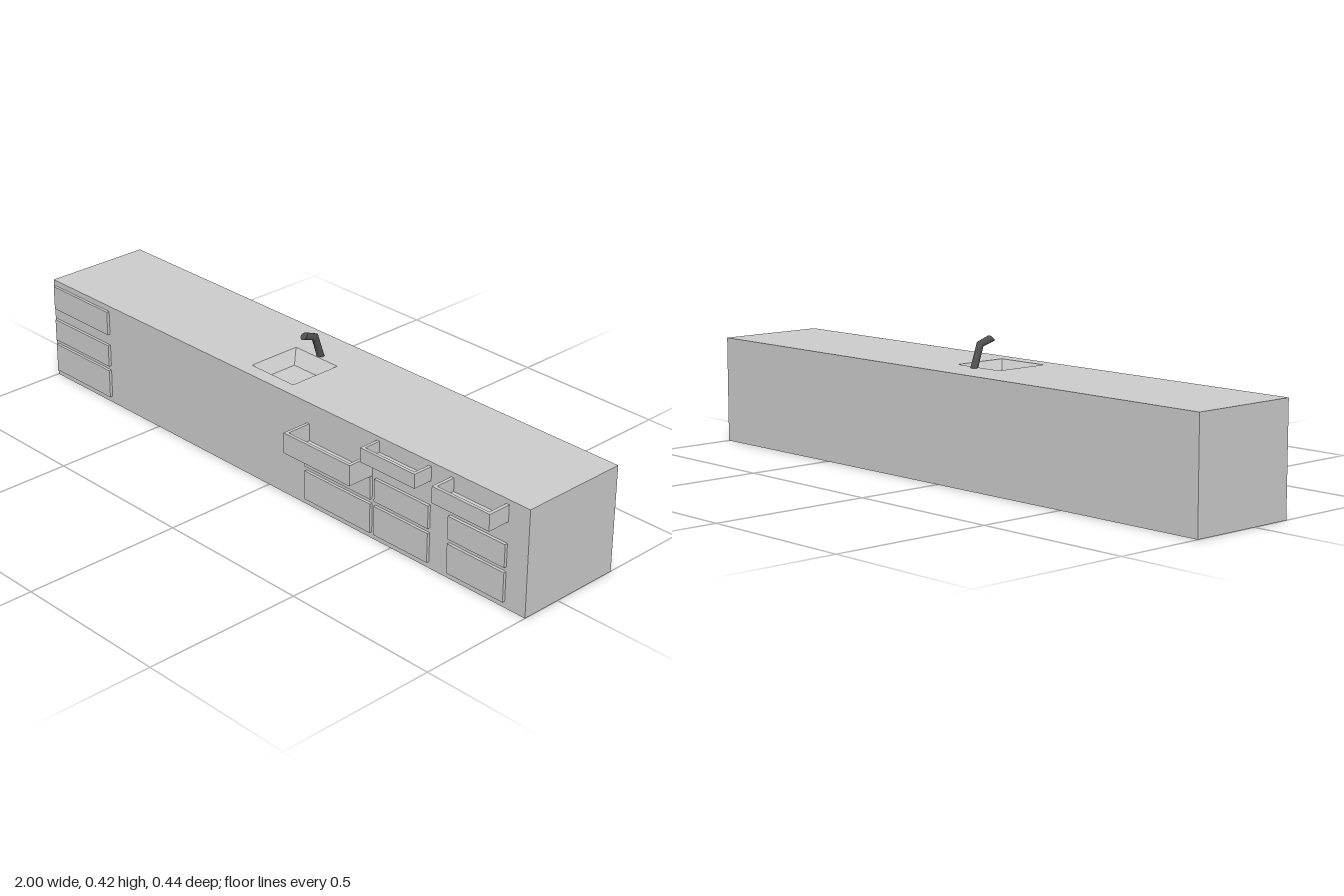
import * as THREE from 'three';

const grey = new THREE.MeshStandardMaterial({ color: 0xcccccc, flatShading: true, side: THREE.DoubleSide });
const dark = new THREE.MeshStandardMaterial({ color: 0x505050 });

const TOP = 0.33, FRONT = 0.13, BACK = -0.22;

function add(parent, name, geometry, material = grey) {
  const mesh = new THREE.Mesh(geometry, material);
  mesh.name = name;
  parent.add(mesh);
  return mesh;
}

// Box given by its limits on each axis
function boxBetween(x0, x1, y0, y1, z0, z1) {
  return new THREE.BoxGeometry(x1 - x0, y1 - y0, z1 - z0)
    .translate((x0 + x1) / 2, (y0 + y1) / 2, (z0 + z1) / 2);
}

// The same box without its top face
function openBox(...limits) {
  const g = boxBetween(...limits);
  const index = Array.from(g.index.array);
  index.splice(12, 6);
  g.setIndex(index);
  g.clearGroups();
  return g;
}

function rectangle(path, x0, x1, y0, y1) {
  path.moveTo(x0, y0).lineTo(x1, y0).lineTo(x1, y1).lineTo(x0, y1).closePath();
  return path;
}

// Pulled-out drawer: floor, two sides and a front panel
function openDrawer(x0, x1, y0, y1, z1) {
  const t = 0.01;
  const drawer = new THREE.Group();
  drawer.name = 'openDrawer';
  add(drawer, 'drawerFloor', boxBetween(x0 + t, x1 - t, y0, y0 + t, FRONT, z1 - t));
  add(drawer, 'drawerFront', boxBetween(x0, x1, y0, y1, z1 - t, z1));
  add(drawer, 'drawerSide', boxBetween(x0, x0 + t, y0, y1, FRONT, z1 - t));
  add(drawer, 'drawerSide', boxBetween(x1 - t, x1, y0, y1, FRONT, z1 - t));
  return drawer;
}

// Bent spout: a cylinder whose three rings are moved onto a mitred path
function spoutGeometry() {
  const g = new THREE.CylinderGeometry(1, 1, 2, 20, 2);
  // Ring centre (x, y, z) and half-width vector (dy, dz)
  const rings = [
    { c: [-0.03, TOP, -0.104], v: [0, 0.0115] },
    { c: [-0.032, 0.397, -0.083], v: [-0.0075, 0.0085] },
    { c: [-0.035, 0.411, -0.042], v: [-0.009, 0.0085] },
  ];
  const p = g.attributes.position;
  for (let i = 0; i < p.count; i++) {
    const { c, v } = rings[Math.round(p.getY(i)) + 1];
    const a = p.getX(i), b = p.getZ(i);
    p.setXYZ(i, c[0] + a * 0.011, c[1] + b * v[0], c[2] + b * v[1]);
  }
  g.computeVertexNormals();
  return g;
}

export function createModel() {
  const model = new THREE.Group();
  model.name = 'kitchenCounter';

  // Cabinet body and worktop with the sink opening
  add(model, 'cabinetBody', openBox(-1, 1, 0, TOP, BACK, FRONT));
  const top = rectangle(new THREE.Shape(), -1, 1, -FRONT, -BACK);
  top.holes.push(rectangle(new THREE.Path(), -0.12, 0.055, -0.085, 0.09));
  add(model, 'worktop', new THREE.ShapeGeometry(top).rotateX(-Math.PI / 2).translate(0, TOP, 0));

  // Sink basin narrowing towards its floor
  const basin = openBox(-0.12, 0.055, TOP - 0.04, TOP, -0.09, 0.085);
  const p = basin.attributes.position;
  for (let i = 0; i < p.count; i++) {
    if (p.getY(i) > TOP - 0.02) continue;
    p.setX(i, p.getX(i) < -0.03 ? -0.095 : 0.03);
    p.setZ(i, p.getZ(i) < 0 ? -0.06 : 0.06);
  }
  basin.computeVertexNormals();
  const sinkMaterial = grey.clone();
  sinkMaterial.side = THREE.BackSide;
  add(model, 'sinkBasin', basin, sinkMaterial);

  add(model, 'faucet', spoutGeometry(), dark);

  // Closed drawer fronts in columns
  const rows = [[0.02, 0.112], [0.127, 0.198], [0.235, 0.312]];
  const columns = [[-0.99, -0.725, 3], [0.16, 0.425, 2], [0.44, 0.647, 2], [0.72, 0.927, 2]];
  for (const [x0, x1, count] of columns) {
    for (const [y0, y1] of rows.slice(0, count)) {
      add(model, 'closedDrawer', boxBetween(x0, x1, y0, y1, FRONT, FRONT + 0.009));
    }
  }

  // Drawers pulled out by different amounts
  model.add(openDrawer(0.16, 0.425, 0.2, 0.264, 0.22));
  model.add(openDrawer(0.44, 0.647, 0.273, 0.317, 0.195));
  model.add(openDrawer(0.72, 0.927, 0.264, 0.315, 0.205));

  return model;
}
